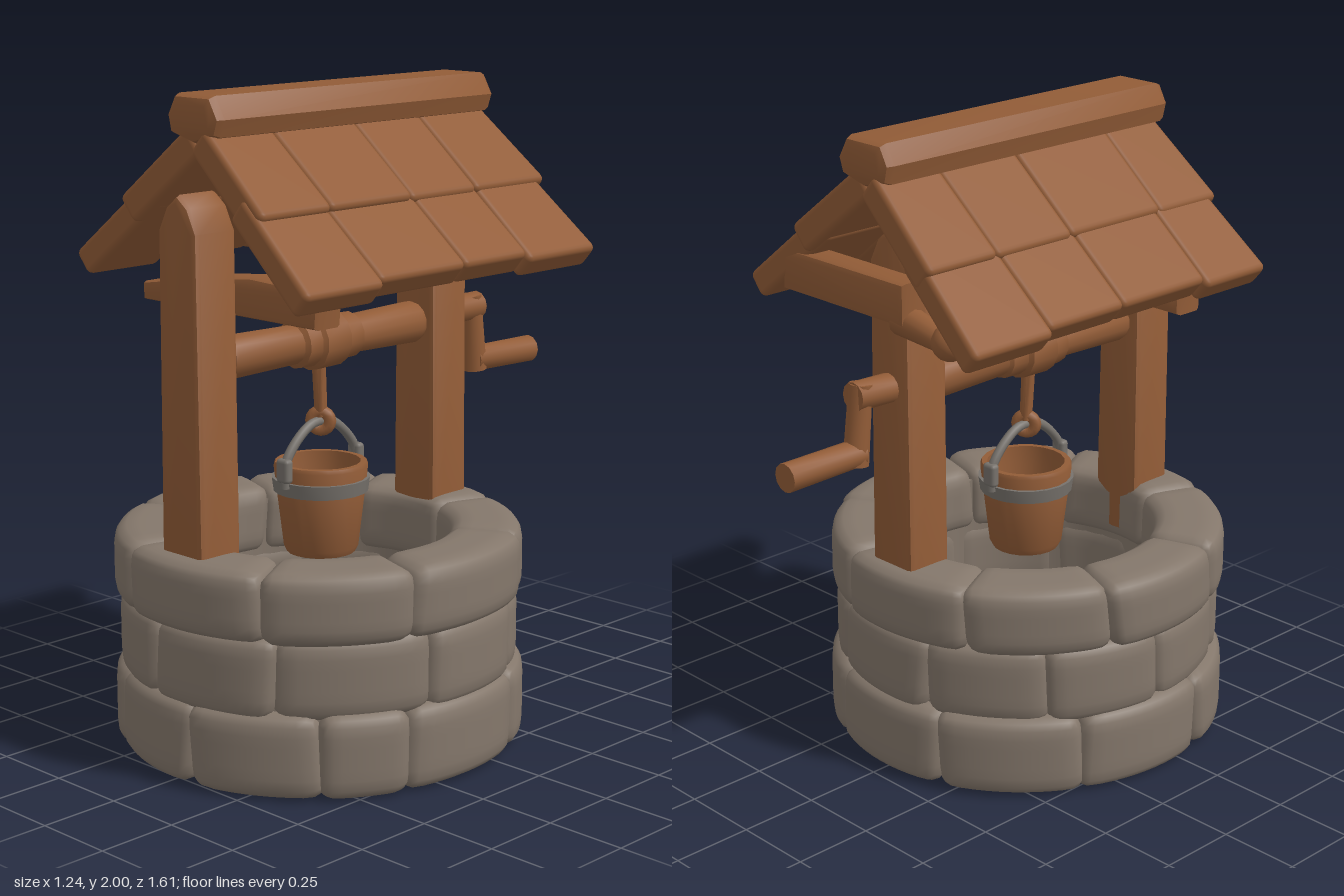
import * as THREE from 'three';
import { mergeVertices, toCreasedNormals } from 'three/addons/utils/BufferGeometryUtils.js';
import { RoundedBoxGeometry } from 'three/addons/geometries/RoundedBoxGeometry.js';

const V = (x, y, z) => new THREE.Vector3(x, y, z);
const CENTRE = 0.165; // z of the well axis

export function createModel() {
  const model = new THREE.Group();
  model.name = 'well';
  const mat = (name, color) => {
    const m = new THREE.MeshStandardMaterial({ color });
    m.name = name;
    return m;
  };
  const wood = mat('wood', 0x925c37);
  const stone = mat('stone', 0x84776b);
  const metal = mat('metal', 0x77726c);

  let seed = 7;
  const rand = () => ((seed = (seed * 16807) % 2147483647) / 2147483647) - 0.5;

  const add = (name, geometry, material, parent = model) => {
    const mesh = new THREE.Mesh(geometry, material);
    mesh.name = name;
    parent.add(mesh);
    return mesh;
  };

  // Round bar between two points
  const rod = (name, a, b, r1, r2 = r1) => {
    const geo = new THREE.CylinderGeometry(r2, r1, a.distanceTo(b), 12);
    const mesh = add(name, toCreasedNormals(geo, 0.7), wood);
    mesh.position.copy(a).lerp(b, 0.5);
    mesh.quaternion.setFromUnitVectors(V(0, 1, 0), b.clone().sub(a).normalize());
  };

  // Rounded stone bent around the well axis; x is arc, y is height, z is radius
  const stoneBlock = (angle, span, y0, y1, rIn, rOut) => {
    const rMid = (rIn + rOut) / 2, r = 0.05;
    const half = V((span * rMid) / 2, (y1 - y0) / 2, (rOut - rIn) / 2);
    const core = half.clone().subScalar(r);
    let geo = new THREE.BoxGeometry(half.x * 2, half.y * 2, half.z * 2, 12, 8, 6);
    geo.deleteAttribute('uv');
    geo.deleteAttribute('normal');
    geo = mergeVertices(geo);
    const pos = geo.attributes.position, p = V();
    const lean = rand() * 0.03;
    for (let i = 0; i < pos.count; i++) {
      p.fromBufferAttribute(pos, i);
      const c = p.clone().clamp(core.clone().negate(), core);
      p.sub(c).setLength(r).add(c);
      const a = angle + (p.x + lean * p.y / half.y) / rMid;
      const radius = rMid + p.z + (p.z > 0 ? lean * 0.4 * p.x / half.x : 0);
      pos.setXYZ(i, Math.sin(a) * radius, (y0 + y1) / 2 + p.y, Math.cos(a) * radius);
    }
    geo.computeVertexNormals();
    return geo;
  };

  // Wall: three staggered courses over a smooth lining; joints in degrees from the front
  const wall = new THREE.Group();
  wall.name = 'stoneWall';
  wall.position.z = CENTRE;
  wall.scale.z = 1.025;
  model.add(wall);
  const courses = [
    { joints: [-32, 7.5, 46, 71, 115, 157, 200, 242, 285], y0: 0.005, y1: 0.262, rIn: 0.4, rOut: 0.617 },
    { joints: [-55, -8, 33, 79, 117, 155, 195, 232, 268], y0: 0.235, y1: 0.488, rIn: 0.41, rOut: 0.597 },
    { joints: [-19, 30, 72, 121, 163, 208, 250, 293], y0: 0.465, y1: 0.682, rIn: 0.395, rOut: 0.617 },
  ];
  for (const { joints, y0, y1, rIn, rOut } of courses)
    joints.forEach((from, i) => {
      const to = joints[i + 1] ?? joints[0] + 360;
      const mid = THREE.MathUtils.degToRad((from + to) / 2);
      const span = THREE.MathUtils.degToRad(to - from) + 0.035;
      add('wallStone', stoneBlock(mid, span, y0, y1, rIn, rOut + rand() * 0.012), stone, wall);
    });
  const ring = [[0.415, 0.04], [0.56, 0.04], [0.56, 0.64], [0.415, 0.64], [0.415, 0.04]];
  add('wallLining', toCreasedNormals(
    new THREE.LatheGeometry(ring.map(([x, y]) => new THREE.Vector2(x, y)), 40), 0.7), stone, wall);

  // Extruded outline along z with softened edges
  const prism = (points, depth, bevel) => {
    const shape = new THREE.Shape(points.map(([x, y]) => new THREE.Vector2(x, y)));
    const geo = new THREE.ExtrudeGeometry(shape, {
      depth: depth - bevel * 2, bevelEnabled: true, bevelThickness: bevel,
      bevelSize: bevel, bevelOffset: -bevel, bevelSegments: 2,
    });
    geo.translate(0, 0, bevel - depth / 2);
    return toCreasedNormals(geo, 0.6);
  };

  // Pointed posts
  const postOutline = [[-0.088, 0.5], [0.088, 0.5], [0.08, 1.62], [0.045, 1.69], [0, 1.725],
    [-0.045, 1.69], [-0.08, 1.62]];
  for (const [name, z] of [['frontPost', 0.648], ['backPost', -0.333]])
    add(name, prism(postOutline, 0.158, 0.018), wood).position.z = z;

  // Ridge beam
  const ridgeOutline = [[-0.095, 1.885], [0, 1.86], [0.095, 1.885], [0.112, 1.935], [0.075, 2],
    [-0.075, 2], [-0.108, 1.94]];
  add('ridgeBeam', prism(ridgeOutline, 1.17, 0.03), wood).position.z = 0.083;

  // Overlapping roof boards: two rows on each side
  const slope = 0.69;
  const rows = [
    { name: 'lowerRoofBoard', x: 0.345, y: 1.59, length: 0.355, thick: 0.088,
      left: [-0.49, -0.2, 0.07, 0.42, 0.705], right: [-0.535, -0.25, 0.05, 0.4, 0.65] },
    { name: 'upperRoofBoard', x: 0.153, y: 1.763, length: 0.35, thick: 0.097,
      left: [-0.49, -0.19, 0.09, 0.42, 0.675], right: [-0.515, -0.27, 0.03, 0.41, 0.65] },
  ];
  for (const row of rows)
    for (const side of [1, -1]) {
      const edges = side > 0 ? row.left : row.right;
      for (let i = 0; i < 4; i++) {
        const width = edges[i + 1] - edges[i] + 0.006;
        const extra = row.x > 0.2 && i % 3 === 0 ? 0.02 : 0;
        const geo = new RoundedBoxGeometry(row.length + extra, row.thick, width, 2, 0.02);
        // The gable edges flare outward toward the eaves
        const outer = i === 0 ? -1 : i === 3 ? 1 : 0, pos = geo.attributes.position;
        for (let k = 0; k < pos.count; k++)
          if (pos.getZ(k) * outer > 0)
            pos.setZ(k, pos.getZ(k) + outer * 0.03 * side * pos.getX(k) / row.length);
        const board = add(row.name, geo, wood);
        board.position.set(side * (row.x + extra * 0.3), row.y - extra * 0.25 + rand() * 0.008,
          (edges[i] + edges[i + 1]) / 2);
        board.rotation.z = -side * (slope + rand() * 0.03);
      }
    }

  // Cross beams on the inside of the front post and the outside of the back post
  add('frontCrossBeam', prism([[-0.37, 1.36], [0.36, 1.36], [0.37, 1.47], [0.1, 1.48],
    [-0.1, 1.46], [-0.37, 1.415]], 0.11, 0.018), wood).position.z = 0.485;
  add('backCrossBeam', prism([[-0.155, 1.48], [0.38, 1.48], [0.375, 1.595], [0.3, 1.61],
    [-0.155, 1.61]], 0.1, 0.018), wood).position.z = -0.445;
  rod('beamNeck', V(-0.1, 1.49, -0.445), V(-0.29, 1.46, -0.445), 0.05, 0.035);
  add('beamKnob', new THREE.SphereGeometry(0.055, 14, 10), wood).position.set(-0.3, 1.465, -0.445);

  // Winch drum with hub
  const drum = [[0, -0.405], [0.062, -0.405], [0.066, -0.39], [0.06, -0.13], [0.07, -0.12],
    [0.072, -0.06], [0.086, -0.05], [0.088, 0.05], [0.076, 0.06], [0.074, 0.11], [0.06, 0.12],
    [0.066, 0.39], [0.062, 0.4], [0, 0.4]];
  const winch = add('winch', toCreasedNormals(
    new THREE.LatheGeometry(drum.map(([x, y]) => new THREE.Vector2(x, y)), 14), 0.6), wood);
  winch.rotation.x = Math.PI / 2;
  winch.position.set(0, 1.236, 0.157);

  // Crank
  rod('crankAxle', V(0, 1.245, -0.38), V(0, 1.25, -0.55), 0.045);
  rod('crankArm', V(0, 1.285, -0.52), V(0, 1.04, -0.545), 0.036, 0.04);
  rod('crankHandle', V(0, 1.075, -0.53), V(0, 1.07, -0.81), 0.042, 0.044);

  // Rope and its knot
  rod('rope', V(0, 1.17, 0.165), V(0, 1.0, 0.155), 0.022, 0.02);
  const knot = add('ropeLoop', new THREE.TorusGeometry(0.028, 0.02, 8, 16), wood);
  knot.position.set(0, 0.985, 0.157);
  knot.rotation.y = Math.PI / 5;

  // Bucket
  const bucket = new THREE.Group();
  bucket.name = 'bucket';
  bucket.position.set(0, 0, 0.157);
  model.add(bucket);
  const lathe = (name, pts, material) => add(name, toCreasedNormals(
    new THREE.LatheGeometry(pts.map(([x, y]) => new THREE.Vector2(x, y)), 20), 0.6), material, bucket);
  lathe('bucketBody', [[0, 0.58], [0.105, 0.58], [0.115, 0.6], [0.145, 0.85], [0.14, 0.862],
    [0.122, 0.862], [0.118, 0.8], [0.1, 0.64], [0, 0.64]], wood);
  lathe('bucketBand', [[0.13, 0.772], [0.145, 0.772], [0.151, 0.815], [0.13, 0.815]], metal);
  const arc = new THREE.CatmullRomCurve3([V(0, 0.8, -0.15), V(0, 0.87, -0.15), V(0, 0.93, -0.11),
    V(0, 0.978, -0.045), V(0, 0.985, 0), V(0, 0.978, 0.045), V(0, 0.93, 0.11), V(0, 0.87, 0.15),
    V(0, 0.8, 0.15)]);
  add('bucketHandle', new THREE.TubeGeometry(arc, 32, 0.015, 8), metal, bucket);
  for (const side of [1, -1]) {
    const lug = add('handleLug', new RoundedBoxGeometry(0.05, 0.075, 0.032, 2, 0.012), metal, bucket);
    lug.position.set(0, 0.855, side * 0.153);
  }
  return model;
}
